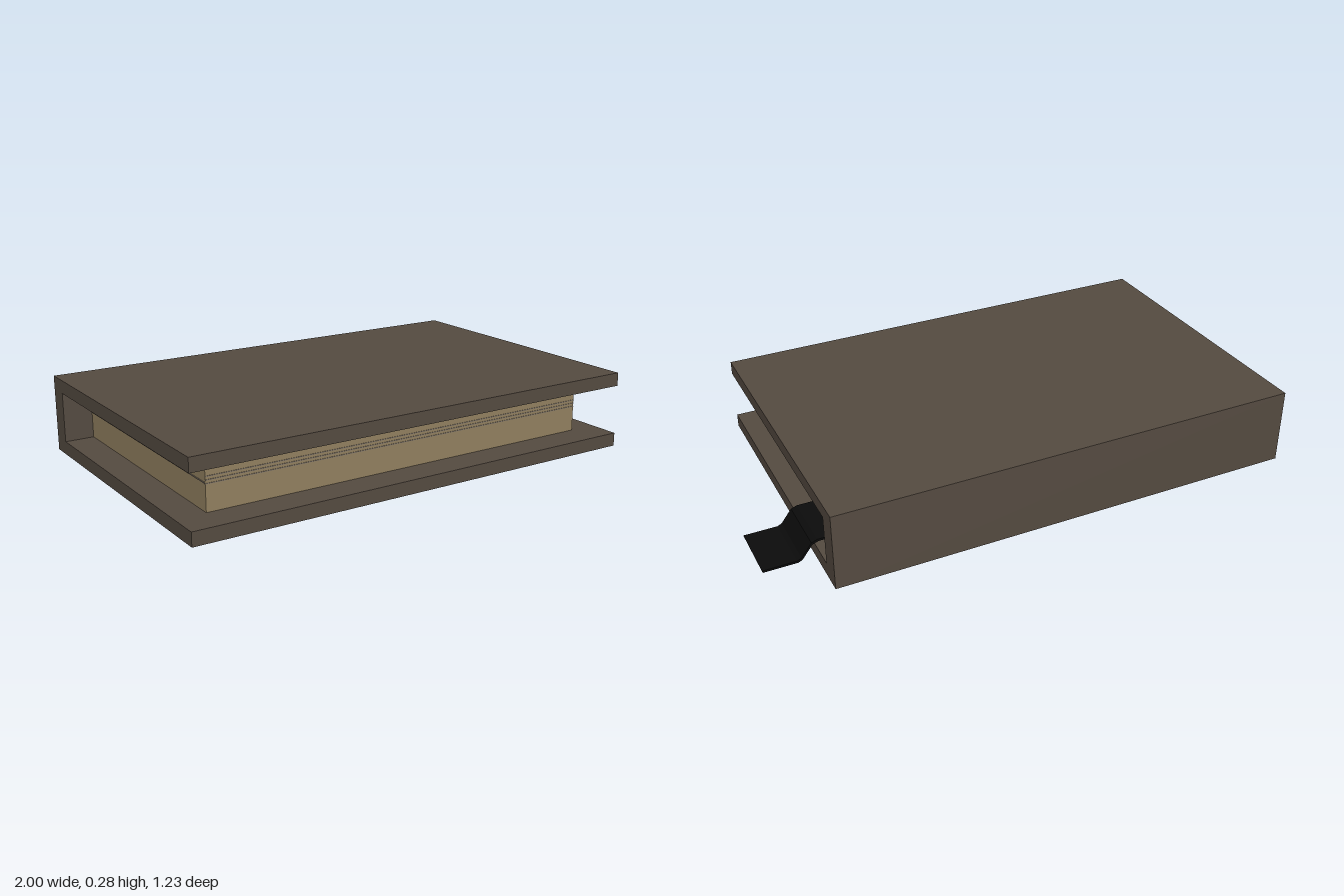
import * as THREE from 'three';

export function createModel() {
  const model = new THREE.Group();
  model.name = 'book';

  const mat = (name, color) => {
    const m = new THREE.MeshStandardMaterial({ color, flatShading: true });
    m.name = name;
    return m;
  };
  const leather = mat('brown leather', 0x544a40);
  const paper = mat('aged paper', 0x907f5f);
  const pageLine = mat('page edge grey', 0x82776a);
  const black = mat('black ribbon', 0x0b0b0b);

  // The whole book lies slightly turned on the ground
  const book = new THREE.Group();
  book.name = 'turnedBook';
  book.position.x = -0.0875;
  book.rotation.y = -0.06;
  model.add(book);

  // Box given by its minimum and maximum corners
  const box = (name, material, [x0, y0, z0], [x1, y1, z1]) => {
    const mesh = new THREE.Mesh(new THREE.BoxGeometry(x1 - x0, y1 - y0, z1 - z0), material);
    mesh.position.set((x0 + x1) / 2, (y0 + y1) / 2, (z0 + z1) / 2);
    mesh.name = name;
    book.add(mesh);
  };

  // Binding: one C-shaped section swept along the spine
  const W = 0.879, D = 0.561, H = 0.284, T = 0.05, spineZ = -0.483;
  const section = new THREE.Shape([
    [D, 0], [D, T], [-spineZ * -1, T], [spineZ, H - T], [D, H - T], [D, H], [-D, H], [-D, 0],
  ].map(([z, y]) => new THREE.Vector2(-z, y)));
  const binding = new THREE.Mesh(
    new THREE.ExtrudeGeometry(section, { depth: 2 * W, bevelEnabled: false }).translate(0, 0, -W),
    leather);
  binding.rotation.y = Math.PI / 2; // section runs in z, sweep runs in x
  binding.name = 'coversAndSpine';
  book.add(binding);

  // Page block
  const px = 0.771, pz = 0.445, mid = 0.147, e = 0.002;
  box('pages', paper, [-px, T, spineZ], [px, H - T, pz]);

  // Thin gaps and loose leaves showing at the page edges
  for (const y of [mid - 0.004, mid + 0.008, mid + 0.02]) {
    box('frontPageLine', pageLine, [-px, y, pz], [px, y + 0.003, pz + e]);
  }
  box('leftPageLine', pageLine, [-px - e, mid - 0.002, spineZ], [-px, mid + 0.002, pz]);
  box('rightPageLine', pageLine, [px, mid - 0.002, -0.43], [px + e, mid + 0.002, -0.03]);
  box('rightPageGap', black, [px, mid - 0.003, -0.015], [px + e, mid + 0.003, 0.38]);

  // Ribbon bookmark dropping over the cover edge to the ground
  const path = [[0.6, 0.07], [0.87, 0.07], [0.892, 0.062], [0.93, 0.012], [0.945, 0.005], [1.066, 0.005]];
  const t = 0.008;
  const outline = [
    ...path.map(([x, y]) => new THREE.Vector2(x, y)),
    ...path.slice().reverse().map(([x, y]) => new THREE.Vector2(x + t * 0.4, y + t)),
  ];
  const ribbon = new THREE.Mesh(
    new THREE.ExtrudeGeometry(new THREE.Shape(outline), { depth: 0.215, bevelEnabled: false }), black);
  ribbon.position.z = -0.384;
  ribbon.name = 'ribbonBookmark';
  book.add(ribbon);

  return model;
}
